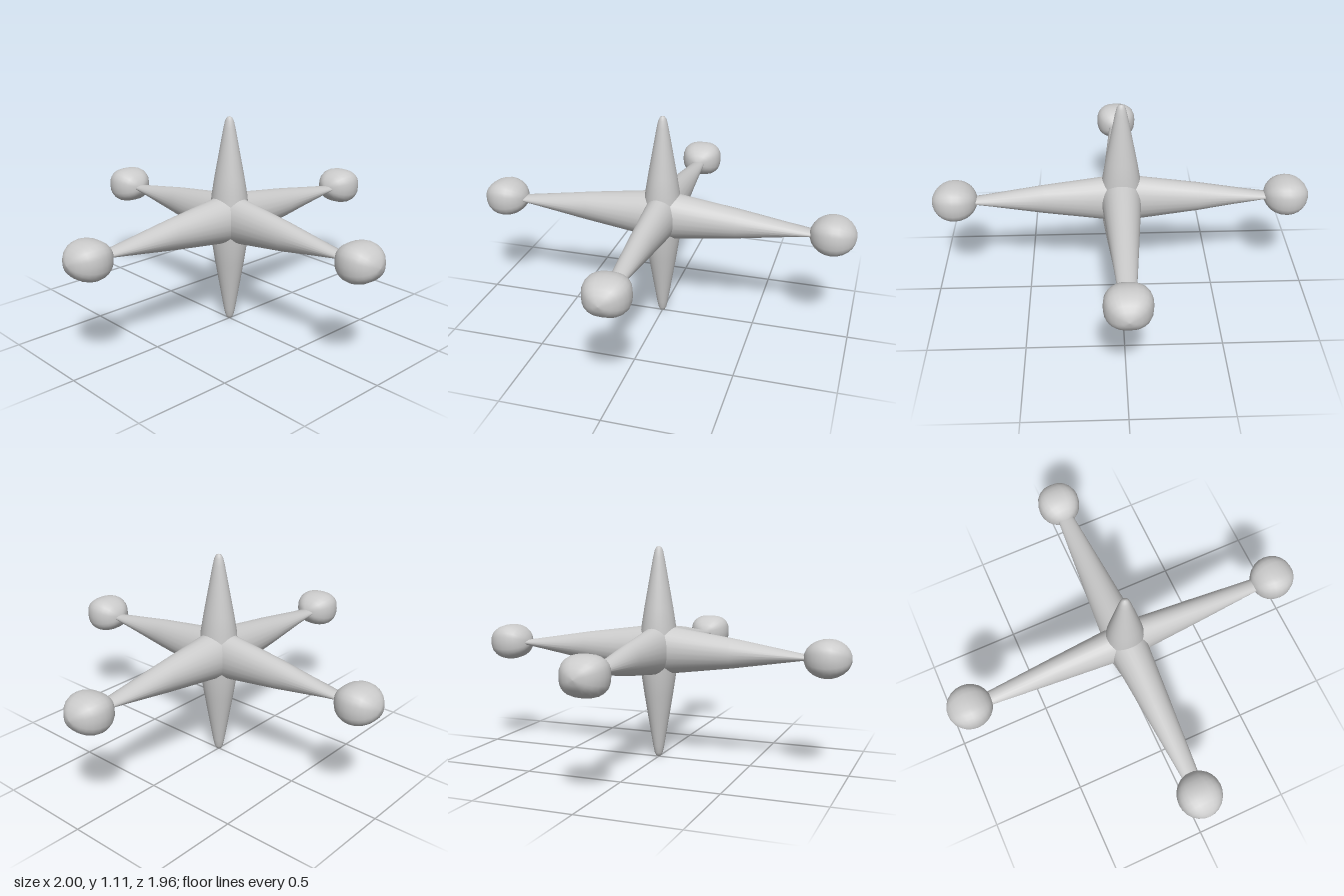
import * as THREE from 'three';

const material = new THREE.MeshStandardMaterial({ color: 0xcccccc });
const MID = 0.575; // height of the crossing

// Closed loft along +z from sections [z, half width, half height];
// power 2 gives ellipses, higher values rounded squares.
function loft(sections, power = 2, sides = 24) {
  const pos = [], index = [];
  const e = 2 / power;
  const bend = (v) => Math.sign(v) * Math.pow(Math.abs(v), e);
  for (const [z, a, b] of sections) {
    for (let i = 0; i < sides; i++) {
      const t = (i / sides) * Math.PI * 2;
      pos.push(a * bend(Math.cos(t)), b * bend(Math.sin(t)), z);
    }
  }
  for (let s = 0; s < sections.length - 1; s++) {
    for (let i = 0; i < sides; i++) {
      const j = (i + 1) % sides;
      const p = s * sides + i, q = s * sides + j;
      index.push(p, q, q + sides, p, q + sides, p + sides);
    }
  }
  const g = new THREE.BufferGeometry();
  g.setAttribute('position', new THREE.Float32BufferAttribute(pos, 3));
  g.setIndex(index);
  g.computeVertexNormals();
  return g;
}

function part(name, geometry, parent) {
  const mesh = new THREE.Mesh(geometry, material);
  mesh.name = name;
  parent.add(mesh);
  return mesh;
}

// Slightly squashed knob, squarish across the arm and round along it
function knobSections(radius, width, height, steps = 12) {
  const out = [];
  for (let i = 0; i <= steps; i++) {
    const t = (i / steps) * Math.PI;
    const r = i === 0 || i === steps ? 0.0005 : Math.sin(t);
    out.push([-radius * Math.cos(t), width * r, height * r]);
  }
  return out;
}

export function createModel() {
  const model = new THREE.Group();
  model.name = 'jack';

  // Four horizontal arms, each with a knob
  const knob = loft(knobSections(0.117, 0.113, 0.096), 2.6);
  const arms = [
    ['front', 0, 0.863, 0.089, 0.037],
    ['left', Math.PI / 2, 0.882, 0.106, 0.043],
    ['back', Math.PI, 0.863, 0.089, 0.037],
    ['right', -Math.PI / 2, 0.882, 0.106, 0.043],
  ];
  for (const [side, angle, reach, wide, narrow] of arms) {
    const arm = new THREE.Group();
    arm.name = side + 'Arm';
    arm.position.y = MID;
    arm.rotation.y = angle;
    const shaft = loft([
      [0, wide, 0.133],
      [0.4, (wide + narrow) / 2, 0.077],
      [reach - 0.1, narrow, 0.013],
      [reach, narrow, 0.011],
    ]);
    part(side + 'Shaft', shaft, arm);
    part(side + 'Knob', knob, arm).position.z = reach;
    model.add(arm);
  }

  // Upper and lower spikes with blunt rounded tips
  const spike = [
    [0, 0.1], [0.12, 0.093], [0.22, 0.077], [0.32, 0.059], [0.42, 0.041],
    [0.48, 0.03], [0.515, 0.022], [0.532, 0.013], [0.537, 0.0005],
  ];
  const upper = spike.map(([z, r]) => [z, r * 0.97, r * 1.05]);
  const lower = spike.map(([z, r]) => [z * 0.575 / 0.537, r * 0.97, r * 1.05]);
  const top = part('upperSpike', loft(upper), model);
  top.position.y = MID;
  top.rotation.x = -Math.PI / 2;
  const bottom = part('lowerSpike', loft(lower), model);
  bottom.position.y = MID;
  bottom.rotation.x = Math.PI / 2;

  return model;
}
